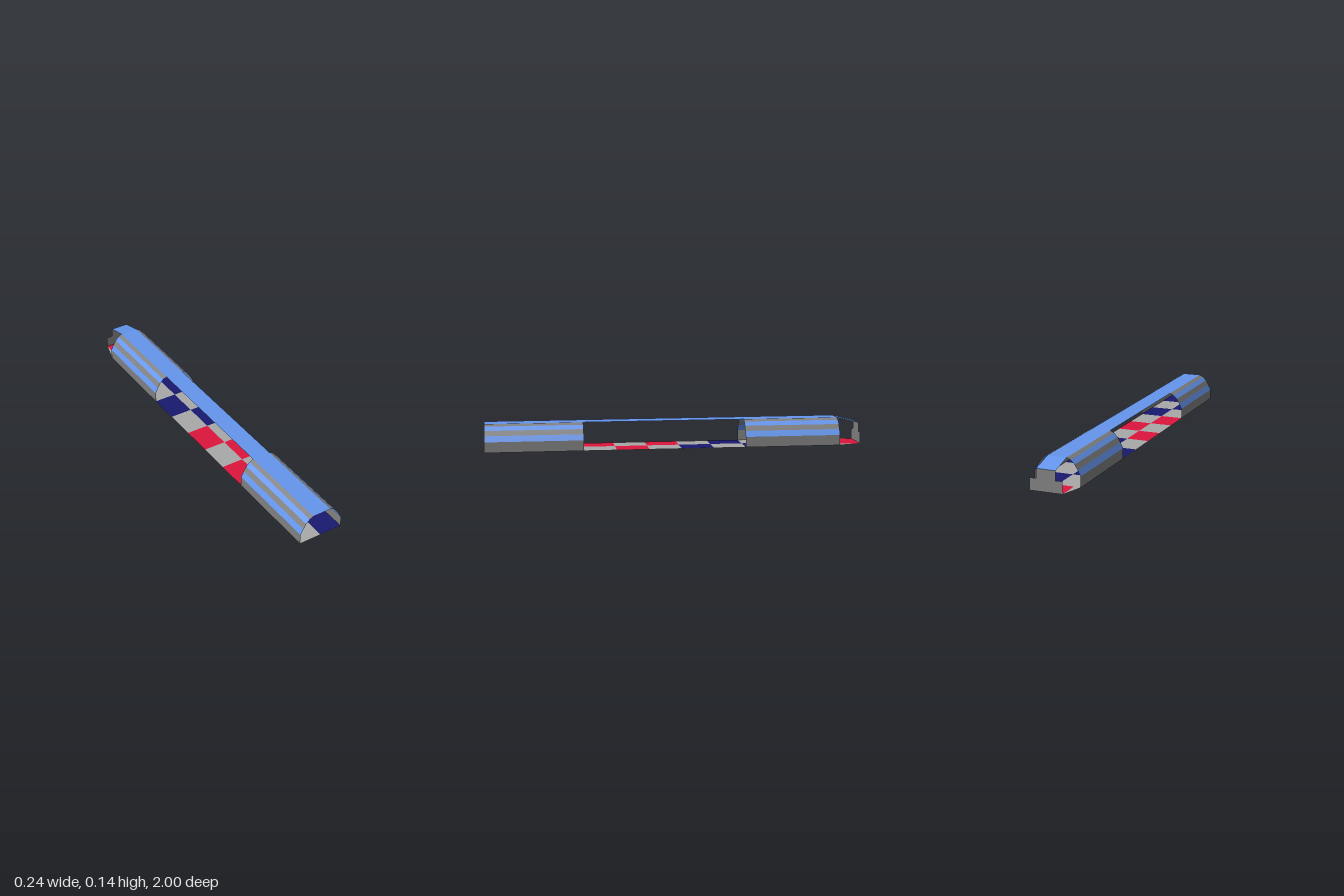
import * as THREE from 'three';

const BLUE = 0x6495ed, GREY = 0x808080, PALE = 0xa9a9a9, NAVY = 0x191970, RED = 0xdc143c;
const BACK = -0.88, ROW = 1.88 / 11;

function createMesh(name, geometry, color) {
  const material = new THREE.MeshStandardMaterial({ color, flatShading: true, side: THREE.DoubleSide });
  const mesh = new THREE.Mesh(geometry, material);
  mesh.name = name;
  return mesh;
}

// Thin four-cornered panel, corners in order around the edge
function panel(name, corners, color) {
  const geometry = new THREE.BufferGeometry();
  geometry.setAttribute('position', new THREE.Float32BufferAttribute(corners.flat(), 3));
  geometry.setIndex([0, 1, 2, 0, 2, 3]);
  geometry.computeVertexNormals();
  return createMesh(name, geometry, color);
}

// Level panel facing up
function flat(name, x0, x1, z0, z1, y, color) {
  return panel(name, [[x0, y, z1], [x1, y, z1], [x1, y, z0], [x0, y, z0]], color);
}

function outline(points) {
  return new THREE.ShapeGeometry(new THREE.Shape(points.map(([x, y]) => new THREE.Vector2(x, y))));
}

export function createModel() {
  const model = new THREE.Group();
  model.name = 'tunnel';

  // Base plate, tapered at the back, facing down
  const base = outline([[-0.12, 1], [-0.12, BACK], [-0.085, -1], [0.085, -1], [0.12, BACK], [0.12, 1]]);
  base.rotateX(Math.PI / 2);
  model.add(createMesh('basePlate', base, GREY));

  // Chequered floor, two columns by eleven rows
  const floor = new THREE.Group();
  floor.name = 'chequeredFloor';
  for (let row = 0; row < 11; row++) {
    const z = BACK + row * ROW;
    const accent = row >= 5 && row <= 7 ? RED : NAVY;
    for (const side of [-1, 1]) {
      const coloured = (row % 2 === 1) === (side < 0);
      const x = side < 0 ? -0.12 : 0;
      floor.add(flat('floorTile', x, x + 0.12, z, z + ROW, 0.002, coloured ? accent : PALE));
    }
  }

  // Back floor: red middle with pale corners
  floor.add(flat('backFloor', -0.085, 0.085, -1, BACK, 0.002, RED));
  for (const s of [-1, 1]) {
    const corner = outline([[s * 0.085, 1], [s * 0.12, -BACK], [s * 0.085, -BACK]]);
    corner.rotateX(-Math.PI / 2);
    corner.translate(0, 0.002, 0);
    floor.add(createMesh('backFloorCorner', corner, PALE));
  }
  model.add(floor);

  // Roof strip and its sloping back end
  model.add(flat('roof', -0.05, 0.05, BACK, 1, 0.14, BLUE));
  model.add(panel('backRoofSlope',
    [[-0.05, 0.14, BACK], [0.05, 0.14, BACK], [0.05, 0.11, -1], [-0.05, 0.11, -1]], BLUE));

  // Faceted side shells with grey and blue stripes, open in the middle
  const profile = [[0.12, 0], [0.12, 0.055], [0.105, 0.085], [0.09, 0.11], [0.07, 0.13], [0.05, 0.14]];
  for (const [z0, z1] of [[BACK, BACK + 3 * ROW], [1 - 3 * ROW, 1]]) {
    for (const s of [-1, 1]) {
      const shell = new THREE.Group();
      shell.name = 'sideShell';
      for (let i = 0; i < 5; i++) {
        const [xa, ya] = profile[i], [xb, yb] = profile[i + 1];
        const corners = [[s * xa, ya, z1], [s * xa, ya, z0], [s * xb, yb, z0], [s * xb, yb, z1]];
        if (s < 0) corners.reverse();
        shell.add(panel('stripe', corners, i % 2 ? BLUE : GREY));
      }
      model.add(shell);
    }
  }

  // Stepped back wall, facing backwards
  const wall = outline([[-0.085, 0], [0.085, 0], [0.085, 0.062], [0.05, 0.062],
    [0.05, 0.11], [-0.05, 0.11], [-0.05, 0.062], [-0.085, 0.062]]);
  wall.rotateY(Math.PI);
  wall.translate(0, 0, -1);
  model.add(createMesh('backWall', wall, GREY));

  return model;
}
